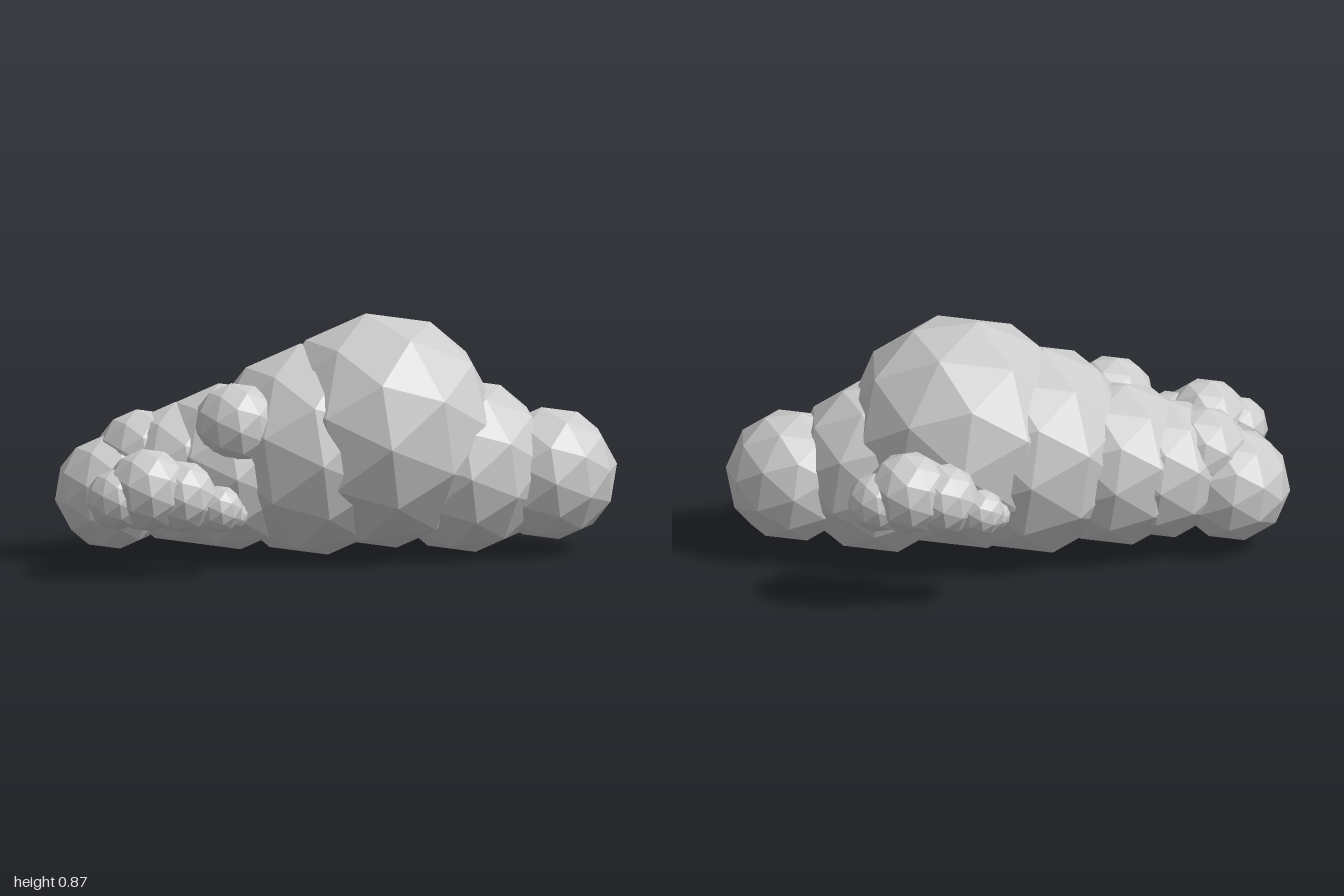
import * as THREE from 'three';

const material = new THREE.MeshStandardMaterial({ color: 0xcccccc, flatShading: true });

// One faceted puff of cloud
function puff(name, [x, y, z, radius]) {
  const mesh = new THREE.Mesh(new THREE.IcosahedronGeometry(radius, 1), material);
  mesh.name = name;
  mesh.position.set(x, y, z);
  mesh.rotation.z = 0.13;
  return mesh;
}

// A cluster of puffs, each given as x, y, z, radius
function cloud(name, puffs) {
  const group = new THREE.Group();
  group.name = name;
  puffs.forEach((p, i) => group.add(puff(`${name}Puff${i + 1}`, p)));
  return group;
}

export function createModel() {
  const model = new THREE.Group();
  model.name = 'clouds';

  // Main cloud, from its left end to its right end
  model.add(cloud('mainCloud', [
    [0.762, 0.287, 0.07, 0.24],
    [0.455, 0.32, 0.07, 0.315],
    [0.16, 0.45, 0.07, 0.426],
    [-0.08, 0.387, 0.07, 0.384],
    [-0.38, 0.33, 0.07, 0.302],
    [-0.54, 0.31, 0.07, 0.257],
    [-0.69, 0.375, 0.06, 0.165],
    [-0.797, 0.245, 0.07, 0.207],
    [-0.37, 0.505, 0.24, 0.155],
  ]));

  // Two equal small clouds, the rear one turned half round
  const smallPuffs = [
    [-0.11, -0.03, 0.01, 0.11],
    [0, 0, 0, 0.15],
    [0.12, -0.025, 0, 0.13],
    [0.255, -0.07, 0.015, 0.085],
    [0.31, -0.1, -0.03, 0.05],
  ];
  const front = cloud('frontSmallCloud', smallPuffs);
  front.position.set(-0.71, 0.32, 0.48);
  const rear = cloud('rearSmallCloud', smallPuffs);
  rear.position.set(0.357, 0.45, -0.488);
  rear.rotation.y = Math.PI;
  model.add(front, rear);

  return model;
}
